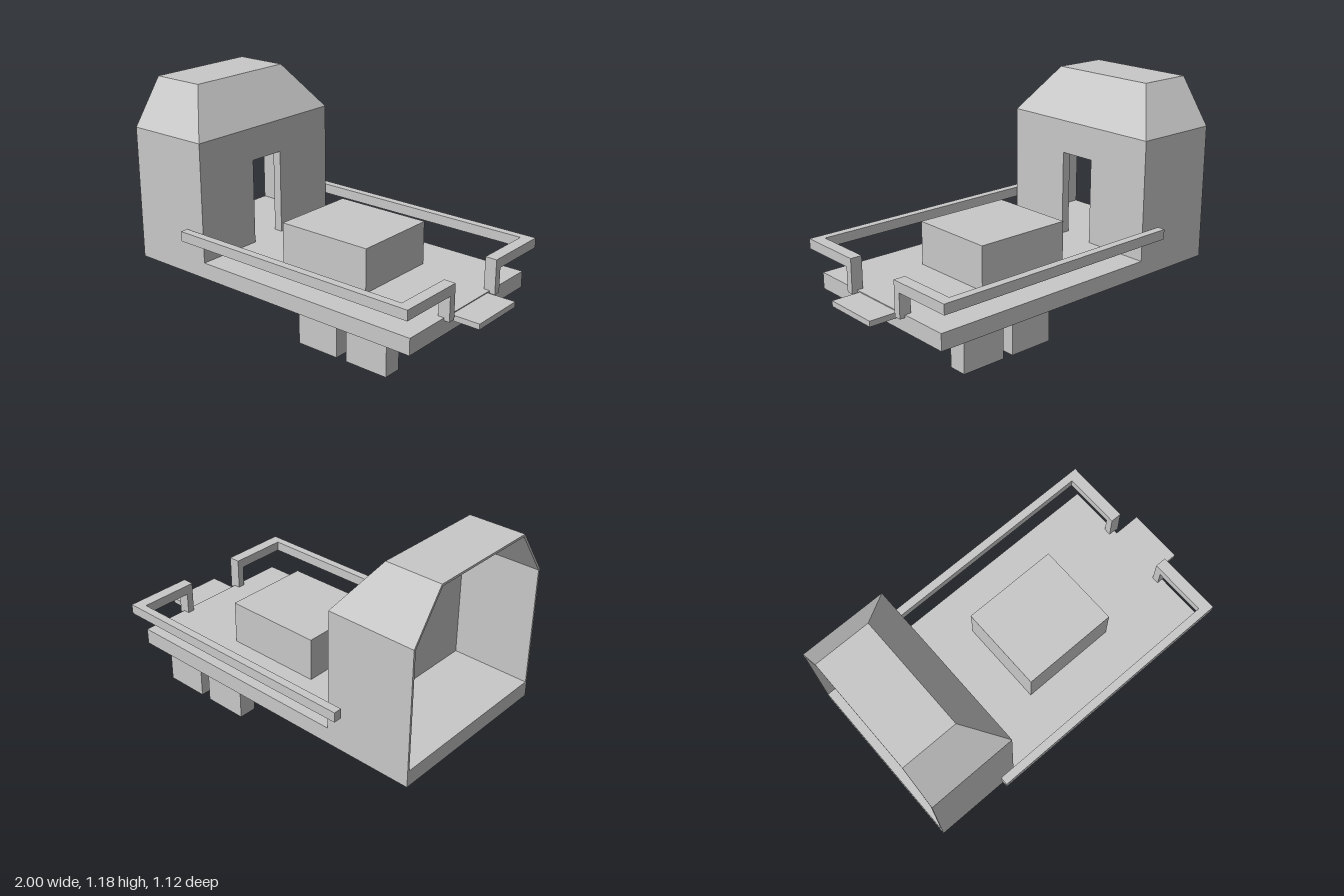
import * as THREE from 'three';

const DECK_TOP = 0.27;

export function createModel() {
  const model = new THREE.Group();
  const grey = new THREE.MeshStandardMaterial({ color: 0xc8c8c8 });
  grey.name = 'plainGrey';

  const add = (name, geometry, parent = model) => {
    const mesh = new THREE.Mesh(geometry, grey);
    mesh.name = name;
    parent.add(mesh);
    return mesh;
  };
  // Box given by its extents along each axis
  const box = (name, [x0, x1], [y0, y1], [z0, z1], parent) =>
    add(name, new THREE.BoxGeometry(x1 - x0, y1 - y0, z1 - z0)
      .translate((x0 + x1) / 2, (y0 + y1) / 2, (z0 + z1) / 2), parent);

  // Deck, central block and end step
  box('deck', [-1, 0.84], [0.18, DECK_TOP], [-0.495, 0.495]);
  box('deckBlock', [-0.17, 0.385], [DECK_TOP, 0.51], [-0.245, 0.245]);
  box('endStep', [0.83, 1], [0.235, 0.265], [-0.16, 0.16]);

  // Square feet and handrails, mirrored across the deck
  for (const s of [1, -1]) {
    const span = (a, b) => (s > 0 ? [a, b] : [-b, -a]);
    for (const x of [0.135, 0.44]) {
      box('foot', [x, x + 0.245], [0, 0.18], span(0.365, 0.465));
    }
    const rail = new THREE.Group();
    rail.name = s > 0 ? 'leftHandrail' : 'rightHandrail';
    model.add(rail);
    box('sideRail', [-0.61, 0.87], [0.39, 0.445], span(0.515, 0.56), rail);
    box('endRail', [0.805, 0.87], [0.39, 0.445], span(0.18, 0.515), rail);
    box('railPost', [0.805, 0.87], [0.255, 0.39], span(0.18, 0.22), rail);
  }

  // Cab: open-backed shell with a chamfered roof
  const cab = new THREE.Group();
  cab.name = 'cab';
  model.add(cab);
  add('cabShell', cabShell(), cab);

  // Front wall with a doorway notch
  const wall = new THREE.Shape([
    [-0.495, DECK_TOP], [-0.107, DECK_TOP], [-0.107, 0.747], [0.107, 0.747],
    [0.107, DECK_TOP], [0.495, DECK_TOP], [0.495, 0.93], [-0.495, 0.93],
  ].map(([z, y]) => new THREE.Vector2(z, y)));
  add('doorWall', new THREE.ExtrudeGeometry(wall, { depth: 0.05, bevelEnabled: false })
    .rotateY(Math.PI / 2).translate(-0.56, 0, 0), cab);

  return model;
}

function cabShell() {
  const positions = [];
  const quad = (a, b, c, d) => positions.push(...a, ...b, ...c, ...a, ...c, ...d);
  // U-shaped row of corners, from the back round the front to the back
  const row = ([y, x, z]) => [[-1, y, z], [x, y, z], [x, y, -z], [-1, y, -z]];
  const outer = [[DECK_TOP, -0.51, 0.495], [0.93, -0.51, 0.495], [1.18, -0.69, 0.32]].map(row);
  const inner = [[DECK_TOP, -0.56, 0.483], [0.925, -0.56, 0.483], [1.168, -0.72, 0.313]].map(row);

  const skin = (rows, face) => {
    for (let r = 0; r < 2; r++) {
      for (let i = 0; i < 3; i++) {
        if (r === 0 && i === 1) continue; // the door wall closes this side
        face(rows[r][i], rows[r][i + 1], rows[r + 1][i + 1], rows[r + 1][i]);
      }
    }
    face(...rows[2]);
  };
  skin(outer, quad);
  skin(inner, (a, b, c, d) => quad(d, c, b, a));

  // Rim around the open back
  const rim = (rows) => [rows[0][0], rows[1][0], rows[2][0], rows[2][3], rows[1][3], rows[0][3]];
  const o = rim(outer), n = rim(inner);
  for (let i = 0; i < 5; i++) quad(n[i], o[i], o[i + 1], n[i + 1]);

  const geometry = new THREE.BufferGeometry();
  geometry.setAttribute('position', new THREE.Float32BufferAttribute(positions, 3));
  geometry.computeVertexNormals();
  return geometry;
}
